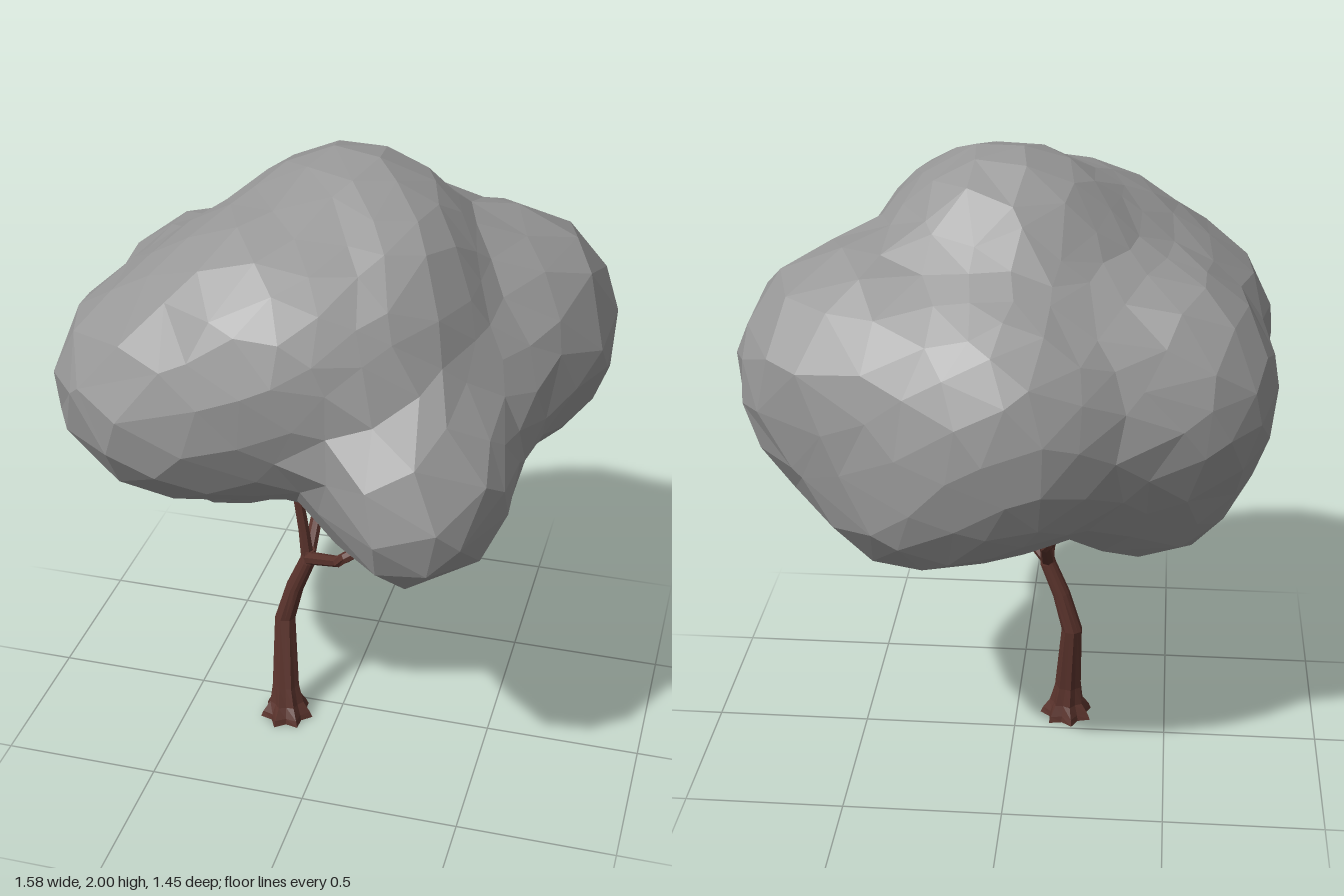
import * as THREE from 'three';
import { mergeVertices } from 'three/addons/utils/BufferGeometryUtils.js';

const leafMaterial = new THREE.MeshStandardMaterial({ color: 0x979797, flatShading: true });
const barkMaterial = new THREE.MeshStandardMaterial({ color: 0x5a332c, flatShading: true });

// Sweep a tapering ring along [x, y, z, radius, fluting] stations and cap both ends
function limb(name, stations, sides) {
  const pts = stations.map(s => new THREE.Vector3(s[0], s[1], s[2]));
  const up = new THREE.Vector3(0, 1, 0);
  const position = [], index = [];
  stations.forEach(([, , , r, flute = 0], i) => {
    const dir = pts[Math.min(i + 1, pts.length - 1)].clone().sub(pts[Math.max(i - 1, 0)]).normalize();
    if (flute) dir.copy(up);
    const turn = new THREE.Quaternion().setFromUnitVectors(up, dir);
    for (let j = 0; j < sides; j++) {
      const a = (j / sides) * Math.PI * 2;
      const rr = r * (1 + flute * (j % 2 ? -1 : 1));
      const p = new THREE.Vector3(Math.cos(a) * rr, 0, Math.sin(a) * rr).applyQuaternion(turn).add(pts[i]);
      position.push(p.x, p.y, p.z);
    }
  });
  const last = (stations.length - 1) * sides, foot = stations.length * sides, tip = foot + 1;
  position.push(...pts[0].toArray(), ...pts[pts.length - 1].toArray());
  for (let j = 0; j < sides; j++) {
    const k = (j + 1) % sides;
    for (let o = 0; o < last; o += sides) {
      index.push(o + j, o + sides + j, o + sides + k, o + j, o + sides + k, o + k);
    }
    index.push(foot, j, k, tip, last + k, last + j);
  }
  const geometry = new THREE.BufferGeometry();
  geometry.setAttribute('position', new THREE.Float32BufferAttribute(position, 3));
  geometry.setIndex(index);
  geometry.computeVertexNormals();
  const mesh = new THREE.Mesh(geometry, barkMaterial);
  mesh.name = name;
  return mesh;
}

// Foliage lobes: centre and radii of ellipsoids that melt together
const core = new THREE.Vector3(0, 1.3, 0);
const lobes = [
  [0, 1.3, 0, 0.45, 0.37, 0.45],            // core
  [-0.38, 1.36, 0.28, 0.41, 0.35, 0.41],    // front, -x side
  [-0.08, 1.5, 0.33, 0.36, 0.33, 0.32],     // front ridge
  [-0.2, 1.6, 0.22, 0.28, 0.25, 0.28],      // shoulder between front and crown
  [0.33, 1.17, 0.39, 0.275, 0.3, 0.34],     // low front, +x side
  [0.22, 1.5, 0.18, 0.22, 0.36, 0.29],      // ridge from low front to crown
  [0.4, 1.32, 0.08, 0.23, 0.25, 0.24],      // +x flank
  [0.45, 1.38, -0.25, 0.345, 0.38, 0.36],   // back, +x side
  [0.02, 1.29, -0.35, 0.4, 0.4, 0.375],     // back
  [0.25, 1.1, -0.42, 0.28, 0.25, 0.25],     // low back, +x side
  [-0.45, 1.31, -0.17, 0.34, 0.36, 0.34],   // back, -x side
  [-0.39, 1.02, -0.08, 0.31, 0.28, 0.28],   // low back, -x side
  [0.02, 1.62, -0.01, 0.36, 0.38, 0.34],    // crown
];

// Above 1 inside the melted lobes, below 1 outside
function density(p) {
  return lobes.reduce((sum, [x, y, z, rx, ry, rz]) =>
    sum + Math.exp(5.5 - 5.5 * Math.hypot((p.x - x) / rx, (p.y - y) / ry, (p.z - z) / rz)), 0);
}

// Outermost surface point along a ray from the core
function surfacePoint(d) {
  const at = t => d.clone().multiplyScalar(t).add(core);
  let outer = 1.3;
  while (density(at(outer - 0.02)) < 1) outer -= 0.02;
  let inner = outer - 0.02;
  for (let i = 0; i < 8; i++) {
    const mid = (inner + outer) / 2;
    if (density(at(mid)) < 1) outer = mid;
    else inner = mid;
  }
  return at(inner);
}

function foliage() {
  const sphere = new THREE.IcosahedronGeometry(1, 5);
  sphere.deleteAttribute('normal');
  sphere.deleteAttribute('uv');
  const geometry = mergeVertices(sphere, 1e-4);
  const pos = geometry.attributes.position;
  const d = new THREE.Vector3();
  for (let i = 0; i < pos.count; i++) {
    d.fromBufferAttribute(pos, i);
    // Uneven facets
    const { x, y, z } = d;
    d.x += 0.045 * Math.sin(17 * y + 11 * z);
    d.y += 0.045 * Math.sin(19 * z + 13 * x);
    d.z += 0.045 * Math.sin(16 * x + 12 * y);
    const p = surfacePoint(d.normalize());
    pos.setXYZ(i, p.x, p.y, p.z);
  }
  geometry.computeVertexNormals();
  const mesh = new THREE.Mesh(geometry, leafMaterial);
  mesh.name = 'foliage';
  return mesh;
}

export function createModel() {
  const tree = new THREE.Group();
  tree.name = 'tree';
  tree.add(foliage());

  // Trunk with flared, fluted roots
  tree.add(limb('trunk', [
    [-0.17, 0, 0.095, 0.076, 0.17],
    [-0.17, 0.02, 0.095, 0.07, 0.15],
    [-0.17, 0.055, 0.092, 0.052, 0.1],
    [-0.175, 0.12, 0.085, 0.042, 0.07],
    [-0.187, 0.36, 0.04, 0.033, 0.05],
    [-0.15, 0.49, 0.045, 0.029],
    [-0.105, 0.6, 0.05, 0.026],
    [-0.1, 0.645, 0.05, 0.02],
  ], 14));

  // Three branches from the fork
  tree.add(limb('uprightBranch', [
    [-0.103, 0.6, 0.05, 0.022], [-0.115, 0.72, 0.053, 0.018], [-0.133, 0.85, 0.057, 0.016],
  ], 7));
  tree.add(limb('bentBranch', [
    [-0.105, 0.61, 0.05, 0.022], [0.035, 0.71, 0.19, 0.018],
    [0.06, 0.735, 0.2, 0.018], [0.28, 0.885, 0.168, 0.015], [0.31, 0.93, 0.165, 0.013],
  ], 7));
  tree.add(limb('backBranch', [
    [-0.103, 0.61, 0.05, 0.022], [-0.11, 0.77, -0.17, 0.017],
    [-0.13, 0.8, -0.2, 0.016], [-0.135, 0.86, -0.24, 0.014],
  ], 7));
  return tree;
}
